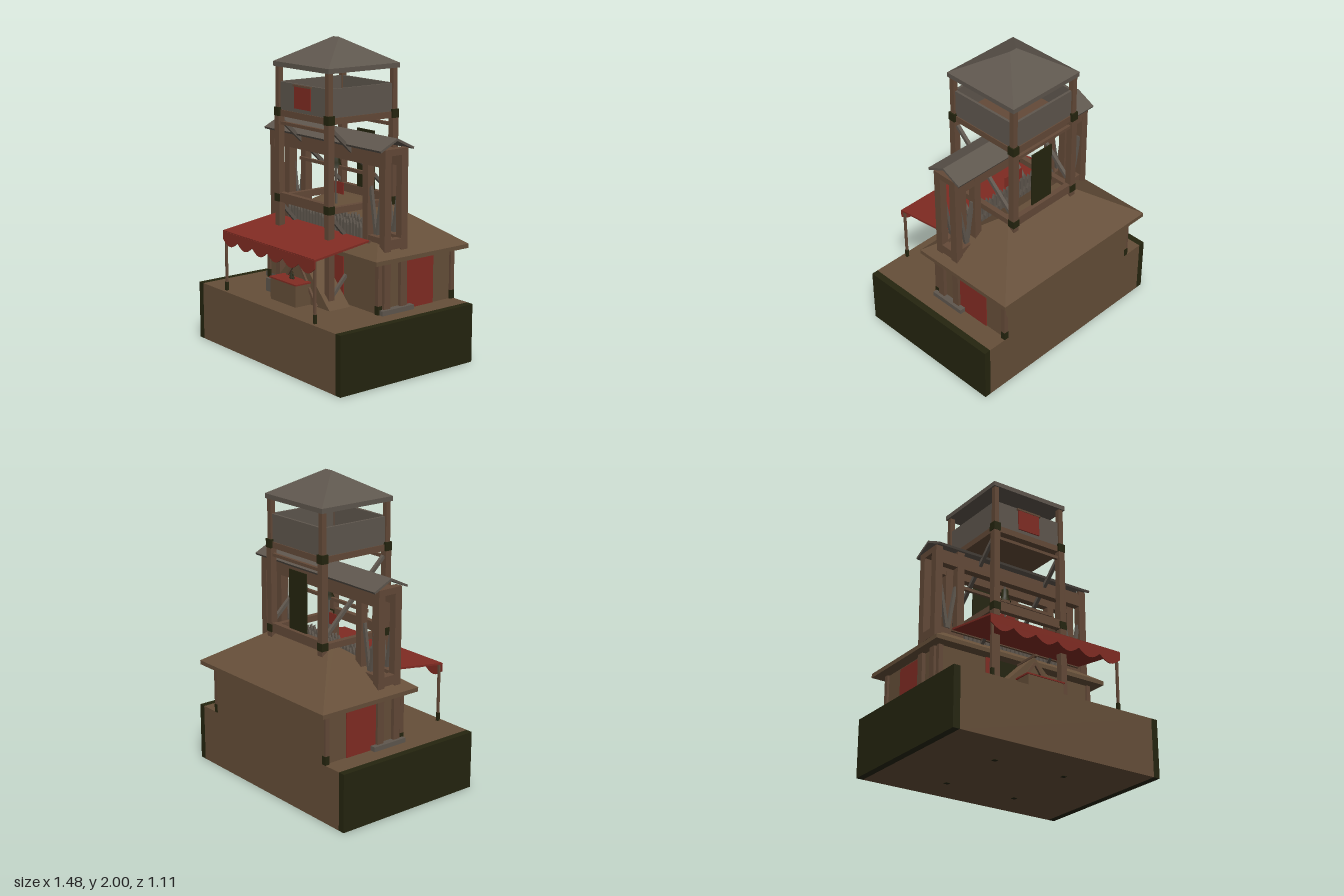
import * as THREE from 'three';

const mat = (name, color) => {
  const m = new THREE.MeshStandardMaterial({ color, side: THREE.DoubleSide });
  m.name = name;
  return m;
};

export function createModel() {
  const brown = mat('earth brown', 0x664f39);
  const wood = mat('timber brown', 0x644a38);
  const grey = mat('weathered grey', 0x5f574e);
  const red = mat('red cloth', 0x822c23);
  const olive = mat('dark olive', 0x25250f);
  const root = new THREE.Group();

  const add = (name, geo, m) => {
    const mesh = new THREE.Mesh(geo, m);
    mesh.name = name;
    root.add(mesh);
    return mesh;
  };
  // box given by its extents on each axis
  const box = (name, m, x0, x1, y0, y1, z0, z1) => {
    const b = add(name, new THREE.BoxGeometry(x1 - x0, y1 - y0, z1 - z0), m);
    b.position.set((x0 + x1) / 2, (y0 + y1) / 2, (z0 + z1) / 2);
    return b;
  };
  // the same box on both sides of x = 0
  const pair = (name, m, x0, x1, y0, y1, z0, z1) => {
    box(name, m, x0, x1, y0, y1, z0, z1);
    box(name, m, -x1, -x0, y0, y1, z0, z1);
  };
  // square bar between two points
  const bar = (name, m, a, b, t) => {
    const p = new THREE.Vector3(...a), q = new THREE.Vector3(...b);
    const mesh = add(name, new THREE.BoxGeometry(t, t, p.distanceTo(q)), m);
    mesh.position.copy(p).add(q).multiplyScalar(0.5);
    mesh.lookAt(q);
  };
  // hipped roof: a box whose top is drawn in to a ridge
  const hip = (name, m, hx, hz, ridgeX, ridgeZ, y0, y1, cz) => {
    const g = new THREE.BoxGeometry(2 * hx, y1 - y0, 2 * hz).toNonIndexed();
    const p = g.attributes.position;
    for (let i = 0; i < p.count; i++) {
      if (p.getY(i) > 0) {
        p.setX(i, Math.sign(p.getX(i)) * ridgeX);
        p.setZ(i, Math.sign(p.getZ(i)) * ridgeZ);
      }
    }
    g.computeVertexNormals();
    add(name, g, m).position.set(0, (y0 + y1) / 2, cz);
  };
  const extrude = (name, m, pts, depth, z) => {
    const shape = new THREE.Shape(pts.map(([x, y]) => new THREE.Vector2(x, y)));
    const g = new THREE.ExtrudeGeometry(shape, { depth, bevelEnabled: false });
    add(name, g, m).position.z = z;
  };

  // ground block with dark ends
  box('groundBlock', brown, -0.695, 0.695, 0, 0.375, -0.49, 0.555);
  pair('groundEnd', olive, 0.695, 0.74, 0, 0.375, -0.49, 0.555);

  // house
  box('houseWalls', brown, -0.555, 0.555, 0.375, 0.71, -0.49, 0.12);
  pair('sideDoor', red, 0.555, 0.562, 0.375, 0.69, -0.32, -0.09);
  for (const z of [-0.475, 0.115]) {
    pair('cornerPost', wood, 0.54, 0.57, 0.43, 0.7, z - 0.015, z + 0.015);
    pair('cornerPostFoot', olive, 0.539, 0.571, 0.375, 0.43, z - 0.016, z + 0.016);
  }
  box('eaves', brown, -0.628, 0.628, 0.7, 0.727, -0.555, 0.193);
  hip('houseRoof', brown, 0.628, 0.374, 0.25, 0.025, 0.727, 0.975, -0.181);
  box('doorway', olive, -0.13, 0.13, 0.375, 0.7, 0.12, 0.128);
  pair('curtain', red, 0.13, 0.23, 0.375, 0.7, 0.12, 0.129);

  // gate towers rising through both ends of the house
  pair('footing', grey, 0.36, 0.6, 0.375, 0.405, -0.13, 0.12);
  for (const z of [-0.065, 0.065]) {
    pair('gatePostOuter', wood, 0.53, 0.58, 0.4, 1.36, z - 0.025, z + 0.025);
    pair('gatePostInner', wood, 0.37, 0.42, 0.4, 1.36, z - 0.025, z + 0.025);
    box('gateBeam', wood, -0.58, 0.58, 1.27, 1.36, z - 0.024, z + 0.024);
    pair('gateSill', wood, 0.42, 0.53, 0.8, 0.84, z - 0.02, z + 0.02);
    for (const s of [-1, 1]) {
      bar('gateBrace', grey, [s * 0.53, 1.14, z], [s * 0.48, 0.85, z], 0.02);
      bar('gateBrace', grey, [s * 0.42, 1.14, z], [s * 0.47, 0.85, z], 0.02);
    }
  }
  for (const [a, b] of [[0.37, 0.42], [0.53, 0.58]]) {
    pair('gateTie', wood, a, b, 1.34, 1.38, -0.09, 0.09);
    pair('gateCrossbar', wood, a, b, 0.77, 0.83, -0.06, 0.06);
  }
  // gate roof: two sloped boards meeting at the ridge
  for (const s of [-1, 1]) {
    const board = add('gateRoof', new THREE.BoxGeometry(1.17, 0.014, 0.146), grey);
    board.position.set(0, 1.405, s * 0.064);
    board.rotation.x = s * 0.45;
  }
  box('gateRail', wood, -0.37, 0.37, 1.18, 1.2, -0.01, 0.01);

  // bell with a hanging cloth
  const bell = [[0.001, 0.09], [0.022, 0.085], [0.027, 0.03], [0.04, 0]];
  add('bell', new THREE.LatheGeometry(bell.map(([r, y]) => new THREE.Vector2(r, y)), 10), olive)
    .position.set(0, 1.185, 0);
  box('bellPole', grey, -0.006, 0.006, 0.95, 1.3, -0.006, 0.006);
  box('hangingCloth', red, -0.075, 0.075, 1.02, 1.095, -0.003, 0.003);

  // watchtower legs, collars and feet
  for (const z of [-0.252, 0.252]) {
    pair('towerLeg', wood, 0.23, 0.274, 0.375, 1.53, z - 0.022, z + 0.022);
    pair('towerPost', wood, 0.235, 0.268, 1.53, 1.82, z - 0.017, z + 0.017);
    pair('lowerCollar', olive, 0.227, 0.277, 0.96, 1.01, z - 0.025, z + 0.025);
    pair('upperCollar', olive, 0.227, 0.277, 1.505, 1.56, z - 0.025, z + 0.025);
    pair('footMark', olive, 0.235, 0.265, -0.002, 0.002, z - 0.015, z + 0.015);
    box('lowerBeam', wood, -0.235, 0.235, 0.96, 1.02, z - 0.018, z + 0.018);
    box('thinTie', wood, -0.235, 0.235, 1.452, 1.472, z - 0.01, z + 0.01);
  }
  pair('lowerSideBeam', wood, 0.235, 0.27, 0.96, 1.0, -0.235, 0.235);
  for (const s of [-1, 1]) {
    bar('longBrace', grey, [s * 0.25, 1.47, 0.23], [s * 0.25, 1.04, -0.23], 0.022);
    bar('shortBrace', grey, [s * 0.25, 0.94, 0.24], [s * 0.25, 0.78, 0.1], 0.022);
    bar('footBrace', grey, [s * 0.25, 0.43, 0.24], [s * 0.25, 0.56, 0.12], 0.02);
  }
  box('rearPanel', olive, -0.085, 0.085, 0.98, 1.4, -0.245, -0.237);

  // lookout platform with parapet
  box('lookoutFloor', wood, -0.262, 0.262, 1.505, 1.545, -0.262, 0.262);
  for (const s of [-1, 1]) {
    const z = s * 0.248;
    box('parapet', grey, -0.235, 0.235, 1.545, 1.72, z - 0.008, z + 0.008);
  }
  pair('sideParapet', grey, 0.24, 0.256, 1.545, 1.72, -0.235, 0.235);
  box('clothRail', wood, -0.09, 0.09, 1.705, 1.717, 0.256, 0.268);
  box('parapetCloth', red, -0.08, 0.08, 1.57, 1.707, 0.258, 0.265);
  box('lookoutEaves', grey, -0.278, 0.278, 1.815, 1.845, -0.278, 0.278);
  hip('lookoutRoof', grey, 0.278, 0.278, 0.028, 0.001, 1.845, 2, 0);

  // pointed stakes on the roof, uneven in height
  for (let row = 0; row < 2; row++) {
    for (let i = 0; i < 24; i++) {
      const x = -0.36 + i * 0.0313;
      const top = 0.9 + 0.025 * Math.abs(Math.sin(i * 2.3 + row)) + row * 0.008;
      const low = 0.78 + row * 0.05;
      extrude('stake', grey, [[x - 0.011, low], [x + 0.011, low], [x + 0.011, top - 0.035],
        [x, top], [x - 0.011, top - 0.035]], 0.015, 0.09 - row * 0.09);
    }
  }

  // awning with scalloped edge
  bar('awningRidge', wood, [-0.48, 0.812, 0.125], [0.48, 0.812, 0.125], 0.015);
  const awning = add('awning', new THREE.BoxGeometry(0.96, 0.012, 0.412), red);
  awning.position.set(0, 0.79, 0.331);
  awning.rotation.x = Math.atan2(0.055, 0.4);
  const edge = [[0.48, 0.763], [-0.48, 0.763]];
  for (let i = 0; i <= 48; i++) {
    edge.push([-0.48 + i * 0.02, 0.712 - 0.04 * Math.abs(Math.sin(i * Math.PI / 8))]);
  }
  extrude('valance', red, edge, 0.006, 0.533);
  pair('awningPost', wood, 0.455, 0.469, 0.43, 0.765, 0.518, 0.532);
  pair('awningPostFoot', olive, 0.453, 0.471, 0.375, 0.43, 0.516, 0.534);

  // gabled porch
  extrude('porch', brown, [[-0.32, 0.375], [0.32, 0.375], [0, 0.695]], 0.16, 0.145);
  for (const s of [-1, 1]) {
    bar('porchRafter', wood, [s * 0.2, 0.375, 0.31], [0, 0.65, 0.31], 0.018);
  }
  box('porchRidge', wood, -0.01, 0.01, 0.69, 0.705, 0.14, 0.33);

  // stall counter, goods and crate
  box('counter', brown, -0.13, 0.13, 0.375, 0.512, 0.3, 0.42);
  box('counterCloth', red, -0.138, 0.138, 0.512, 0.521, 0.295, 0.425);
  for (const x of [-0.015, 0, 0.015]) {
    const herb = add('herb', new THREE.ConeGeometry(0.012, 0.06, 6), olive);
    herb.position.set(x, 0.55 - Math.abs(x), 0.35);
  }
  box('crate', grey, -0.3, -0.225, 0.375, 0.46, 0.26, 0.335);

  return root;
}
